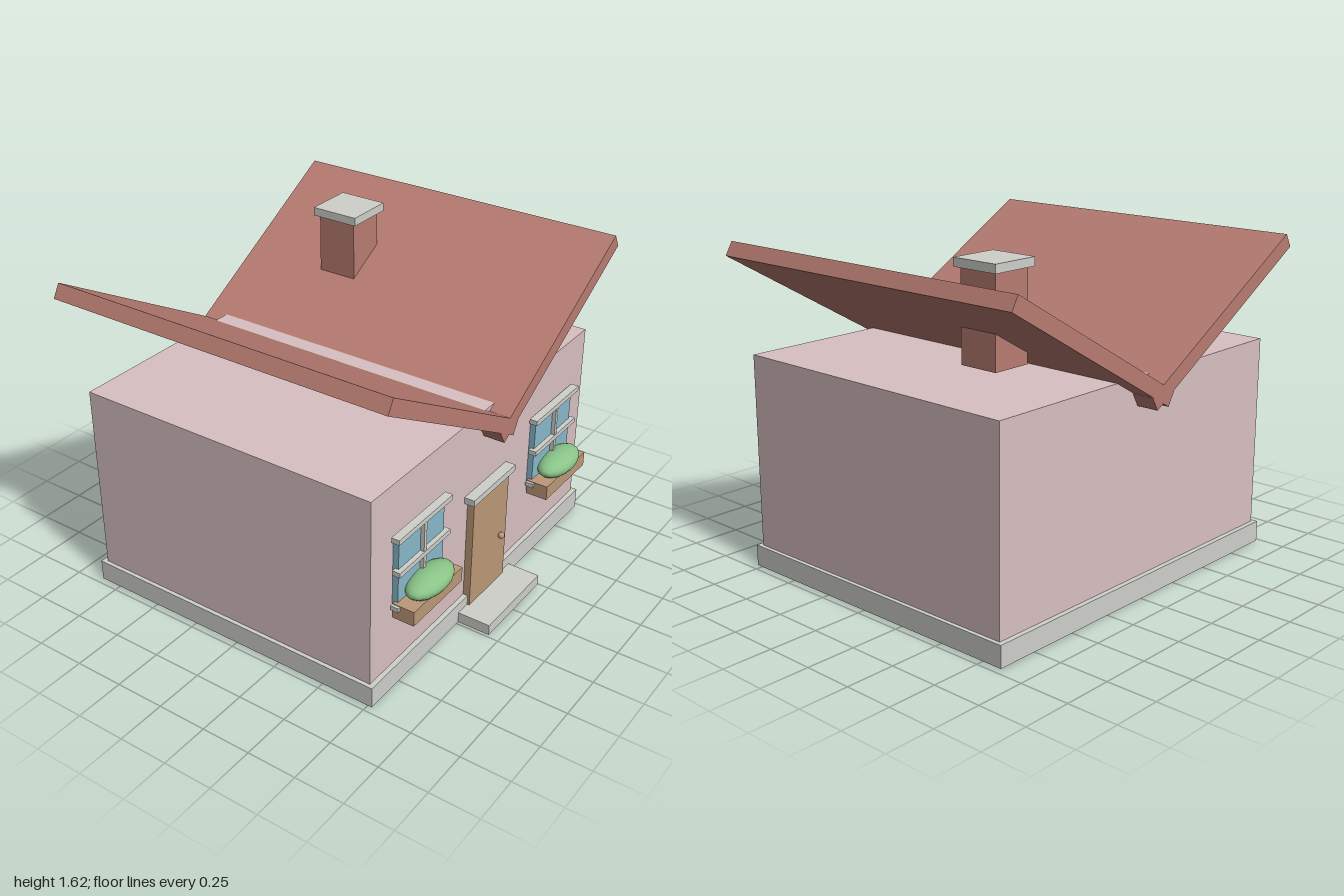
import * as THREE from 'three';

const paint = (name, color) => {
  const m = new THREE.MeshStandardMaterial({ color });
  m.name = name;
  return m;
};

export function createModel() {
  const house = new THREE.Group();
  house.name = 'house';

  const wall = paint('pink plaster', 0xd9c0c2);
  const brick = paint('terracotta', 0xb87c72);
  const stone = paint('pale stone', 0xcfd0ca);
  const wood = paint('wood', 0xbc9878);
  const glass = paint('window glass', 0x88b8c9);
  const leaf = paint('leaf green', 0x8ac488);

  // Box given by its limits on each axis
  const box = (parent, name, mat, [x0, x1], [y0, y1], [z0, z1]) => {
    const mesh = new THREE.Mesh(new THREE.BoxGeometry(x1 - x0, y1 - y0, z1 - z0), mat);
    mesh.position.set((x0 + x1) / 2, (y0 + y1) / 2, (z0 + z1) / 2);
    mesh.name = name;
    parent.add(mesh);
    return mesh;
  };
  const ball = (parent, name, mat, r, pos, w, h) => {
    const mesh = new THREE.Mesh(new THREE.SphereGeometry(1, w, h), mat);
    mesh.scale.set(...r);
    mesh.position.set(...pos);
    mesh.name = name;
    parent.add(mesh);
  };

  // Body and plinth
  box(house, 'walls', wall, [-0.95, 0.95], [0, 1.077], [-0.835, 0.75]);
  box(house, 'plinth', stone, [-0.97, 0.97], [0.005, 0.112], [-0.86, 0.775]);

  // Butterfly roof: two slabs crossing in a central valley
  for (const s of [-1, 1]) {
    const slab = box(house, s > 0 ? 'leftRoofSlab' : 'rightRoofSlab', brick,
      [-0.6, 0.6], [-0.0375, 0.0375], [-0.945, 0.858]);
    slab.position.x = s * 0.46;
    slab.position.y = 1.275;
    slab.rotation.z = s * Math.PI / 6;
  }

  // Chimney passing through the left slab
  box(house, 'chimney', brick, [0.402, 0.608], [1.145, 1.585], [-0.496, -0.29]);
  box(house, 'chimneyCap', stone, [0.38, 0.63], [1.583, 1.625], [-0.518, -0.268]);

  // Entrance
  box(house, 'doorstep', stone, [-0.24, 0.24], [0.005, 0.06], [0.74, 0.945]);
  box(house, 'door', wood, [-0.16, 0.16], [0.06, 0.652], [0.74, 0.787]);
  box(house, 'doorLintel', stone, [-0.19, 0.19], [0.652, 0.685], [0.74, 0.803]);
  ball(house, 'doorKnob', wood, [0.017, 0.017, 0.017], [0.1, 0.325, 0.798], 14, 10);

  // Windows with flower boxes
  for (const s of [-1, 1]) {
    const win = new THREE.Group();
    win.name = s > 0 ? 'leftWindow' : 'rightWindow';
    win.position.x = s * 0.6;
    house.add(win);
    box(win, 'pane', glass, [-0.182, 0.182], [0.45, 0.81], [0.74, 0.78]);
    box(win, 'head', stone, [-0.215, 0.215], [0.803, 0.829], [0.762, 0.803]);
    box(win, 'sill', stone, [-0.215, 0.215], [0.445, 0.468], [0.762, 0.803]);
    box(win, 'crossBar', stone, [-0.204, 0.204], [0.625, 0.65], [0.762, 0.803]);
    box(win, 'uprightBar', stone, [-0.01, 0.01], [0.45, 0.81], [0.77, 0.8]);
    box(win, 'flowerBox', wood, [-0.2, 0.2], [0.395, 0.471], [0.762, 0.876]);
    ball(win, 'bush', leaf, [0.16, 0.057, 0.085], [0, 0.507, 0.828], 16, 12);
  }

  return house;
}
